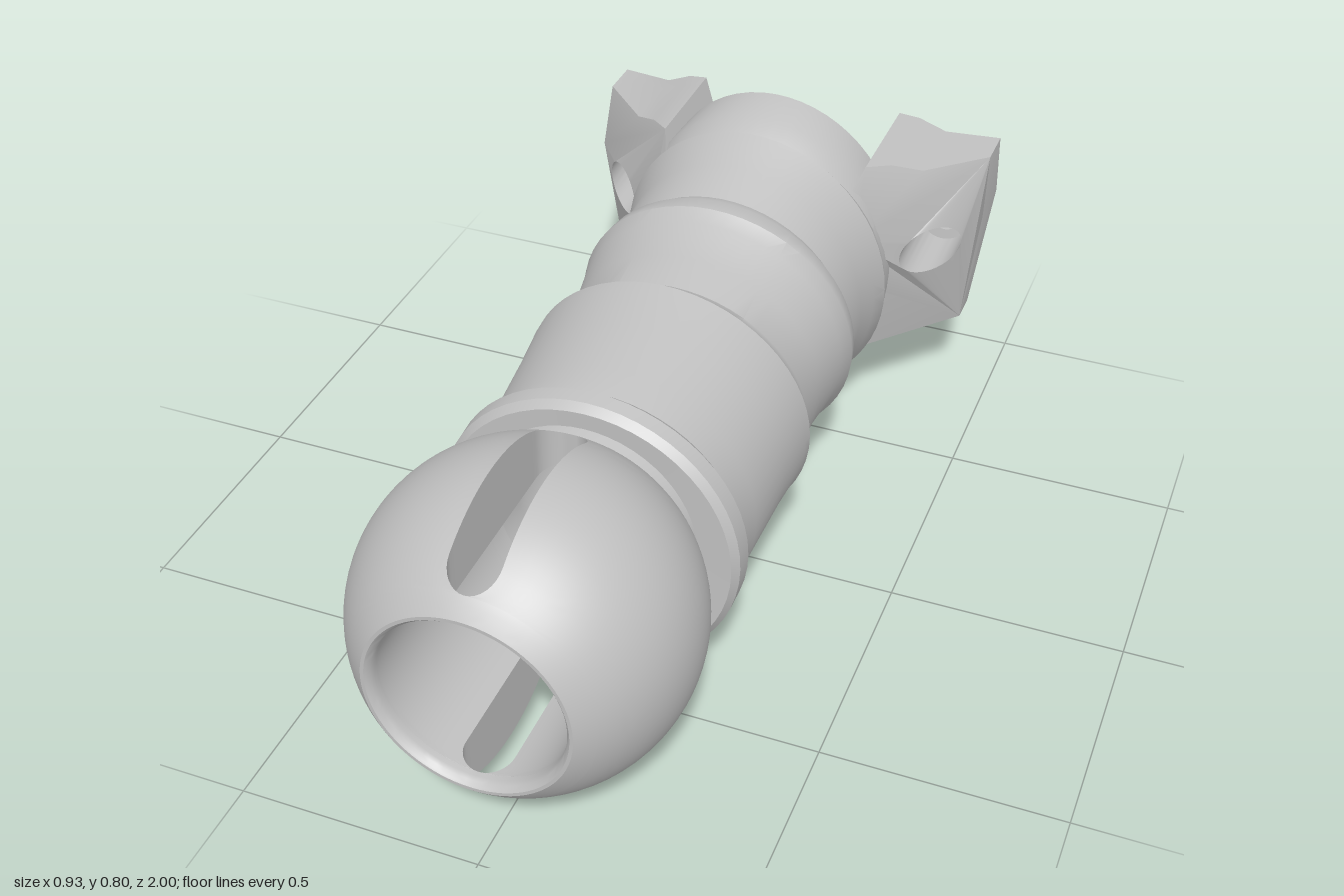
import * as THREE from 'three';
import { mergeGeometries, toCreasedNormals } from 'three/addons/utils/BufferGeometryUtils.js';

const V = (x, y, z) => new THREE.Vector3(x, y, z);

// Skin closed loops of points; "ring" also joins the last loop to the first.
function loft(rows, ring = false) {
  const n = rows[0].length, pts = rows.flat(), index = [];
  const count = ring ? rows.length : rows.length - 1;
  for (let i = 0; i < count; i++) {
    const p = i * n, q = ((i + 1) % rows.length) * n;
    for (let j = 0; j < n; j++) {
      const k = (j + 1) % n;
      index.push(p + j, q + j, q + k, p + j, q + k, p + k);
    }
  }
  // Turn the faces outwards if the enclosed volume comes out negative
  let volume = 0;
  const c = V(0, 0, 0);
  for (let i = 0; i < index.length; i += 3) {
    volume += pts[index[i]].dot(c.crossVectors(pts[index[i + 1]], pts[index[i + 2]]));
  }
  if (volume < 0) index.reverse();
  const geo = new THREE.BufferGeometry().setFromPoints(pts);
  geo.setIndex(index);
  return geo.toNonIndexed();
}

// Bored ball with a rounded slot through its top and bottom walls
function ballGeometry() {
  const cy = 0.405, cz = 0.735, R = 0.335, bore = 0.187, N = 40;
  const slot = (z) => {
    const d = z > 0.92 ? z - 0.92 : z < 0.57 ? 0.57 - z : 0;
    return Math.sqrt(Math.max(0, 0.0025 - d * d));
  };
  const zs = [1, 0.997, 0.99, 0.98];
  for (let i = 0; i <= 8; i++) zs.push(0.92 + 0.05 * Math.cos((i / 8) * Math.PI / 2));
  for (let i = 1; i < 18; i++) zs.push(0.92 - (0.35 * i) / 18);
  for (let i = 0; i <= 8; i++) zs.push(0.57 - 0.05 * Math.sin((i / 8) * Math.PI / 2));
  zs.push(0.5, 0.47);
  const half = (side) => {
    const row = (z, ro, ri) => {
      const pts = [], s = slot(z);
      const arc = (r, t) => {
        const a = Math.asin(s / r), b = a + (Math.PI - 2 * a) * t;
        pts.push(V(side * r * Math.sin(b), cy + r * Math.cos(b), z));
      };
      for (let i = 0; i <= N; i++) arc(ro, i / N);
      for (let i = N; i >= 0; i--) arc(ri, i / N);
      return pts;
    };
    const rows = zs.map((z) => {
      const lip = Math.max(0, z - 0.98) / 0.02;
      return row(z, Math.sqrt(R * R - (z - cz) ** 2), bore + 0.011 * lip * lip);
    });
    rows.unshift(row(1, 0.2, 0.2));
    rows.push(row(0.47, bore, bore));
    return loft(rows);
  };
  return toCreasedNormals(mergeGeometries([half(1), half(-1)]), 0.6);
}

// Ribbed tube: each station is [top z, top y, bottom z, bottom y, half width]
function bodyGeometry() {
  const outer = [
    [0.49, 0.63, 0.49, 0.18, 0.225], [0.465, 0.635, 0.475, 0.175, 0.23],
    [0.465, 0.67, 0.48, 0.085, 0.3], [0.45, 0.685, 0.46, 0.07, 0.312],
    [0.42, 0.69, 0.4, 0.07, 0.312], [0.39, 0.665, 0.365, 0.105, 0.285],
    [0.36, 0.67, 0.33, 0.09, 0.285], [0.32, 0.675, 0.285, 0.065, 0.29],
    [0.19, 0.69, 0.12, 0.09, 0.3], [0.09, 0.705, 0.03, 0.1, 0.31],
    [0.065, 0.71, 0.01, 0.088, 0.312], [0.05, 0.69, -0.02, 0.09, 0.3],
    [0.01, 0.672, -0.06, 0.11, 0.285], [-0.08, 0.687, -0.15, 0.122, 0.285],
    [-0.18, 0.71, -0.235, 0.13, 0.3], [-0.21, 0.73, -0.285, 0.108, 0.311],
    [-0.245, 0.73, -0.32, 0.112, 0.305], [-0.275, 0.718, -0.35, 0.115, 0.283],
    [-0.365, 0.745, -0.44, 0.1, 0.283], [-0.42, 0.765, -0.5, 0.08, 0.295],
  ];
  const rear = [
    [-0.455, 0.78, -0.55, 0.065, 0.308], [-0.475, 0.762, -0.59, 0.08, 0.3],
    [-0.52, 0.785, -0.63, 0.1, 0.3], [-0.61, 0.8, -0.74, 0.14, 0.275],
  ];
  const inner = [
    [-0.615, 0.745, -0.77, 0.22, 0.228], [-0.5, 0.69, -0.62, 0.22, 0.22],
    [-0.47, 0.65, -0.58, 0.25, 0.2], [-0.43, 0.67, -0.53, 0.22, 0.215],
    [-0.28, 0.65, -0.37, 0.24, 0.21], [-0.24, 0.62, -0.32, 0.265, 0.19],
    [-0.2, 0.64, -0.28, 0.235, 0.205], [0.03, 0.62, -0.03, 0.23, 0.205],
    [0.065, 0.59, 0.01, 0.22, 0.19], [0.1, 0.61, 0.04, 0.2, 0.205],
    [0.36, 0.6, 0.34, 0.19, 0.2], [0.4, 0.565, 0.38, 0.2, 0.188], [0.49, 0.57, 0.49, 0.21, 0.188],
  ];
  const N = 56;
  const rows = [...outer, ...rear, ...inner].map(([zt, yt, zb, yb, w]) =>
    Array.from({ length: N }, (_, j) => {
      const a = (j / N) * Math.PI * 2, c = Math.cos(a) / 2;
      return V(w * Math.sin(a), (yt + yb) / 2 + c * (yt - yb), (zt + zb) / 2 + c * (zt - zb));
    }));
  return toCreasedNormals(loft(rows, true), 0.55);
}

// Mounting wing: a plate with a screw hole, and a wedge with a wider recess in front of it
function wingGeometry(side) {
  const outline = [[0.46, 0.65], [0.465, 0.52], [0.43, 0.225], [0.235, 0.225], [0.232, 0.32],
    [0.245, 0.44], [0.238, 0.55], [0.212, 0.64], [0.235, 0.7], [0.28, 0.69], [0.34, 0.66]];
  const backZ = (x, y) => -0.8 - 0.277 * (x - 0.23) + 0.08 * (0.65 - y);
  const midZ = (x, y) => backZ(x, y) + 0.05;
  const frontZ = (x, y) => -0.53 - 1.13 * (x - 0.29) - 0.5 * Math.max(0, Math.abs(y - 0.45) - 0.1);
  const layer = (radius, from, to) => {
    const shape = new THREE.Shape(outline.map(([x, y]) => new THREE.Vector2(side * x, y)));
    shape.holes.push(new THREE.Path().absarc(side * 0.375, 0.47, radius, 0, Math.PI * 2));
    const geo = new THREE.ExtrudeGeometry(shape, { depth: 1, bevelEnabled: false, curveSegments: 24 });
    const p = geo.attributes.position;
    for (let i = 0; i < p.count; i++) {
      const x = Math.abs(p.getX(i)), y = p.getY(i);
      p.setZ(i, THREE.MathUtils.lerp(from(x, y), to(x, y), p.getZ(i)));
    }
    return geo;
  };
  const geo = mergeGeometries([layer(0.031, backZ, midZ), layer(0.055, midZ, frontZ)]);
  return toCreasedNormals(geo, 0.4);
}

// Tail block: sections are [top z, bottom z, top y, top half width, bottom y, bottom half width]
function tailGeometry() {
  const rows = [
    [-0.48, -0.5, 0.215, 0.17, 0.1, 0.13], [-0.62, -0.62, 0.225, 0.17, 0.09, 0.13],
    [-0.72, -0.74, 0.235, 0.17, 0.025, 0.12], [-1, -0.985, 0.205, 0.145, 0, 0.12],
  ].map(([zt, zb, yt, wt, yb, wb]) => [
    V(wt, yt, zt), V(wb, yb + 0.025, zb), V(wb / 2, yb + 0.007, zb), V(0, yb, zb),
    V(-wb / 2, yb + 0.007, zb), V(-wb, yb + 0.025, zb), V(-wt, yt, zt),
  ]);
  // Close both ends onto a centre point
  const cap = (row) => {
    const mid = row[0].clone().add(row[3]).multiplyScalar(0.5).setX(0);
    return row.map(() => mid.clone());
  };
  return toCreasedNormals(loft([cap(rows[0]), ...rows, cap(rows[3])]), 0.3);
}

export function createModel() {
  const grey = new THREE.MeshStandardMaterial({ color: 0xc0c0c0 });
  grey.name = 'light grey';
  const model = new THREE.Group();
  model.name = 'ballJointTube';
  const add = (name, geometry) => {
    const mesh = new THREE.Mesh(geometry, grey);
    mesh.name = name;
    model.add(mesh);
  };
  add('slottedBall', ballGeometry());
  add('ribbedTube', bodyGeometry());
  add('leftWing', wingGeometry(1));
  add('rightWing', wingGeometry(-1));
  add('tailBlock', tailGeometry());
  return model;
}
